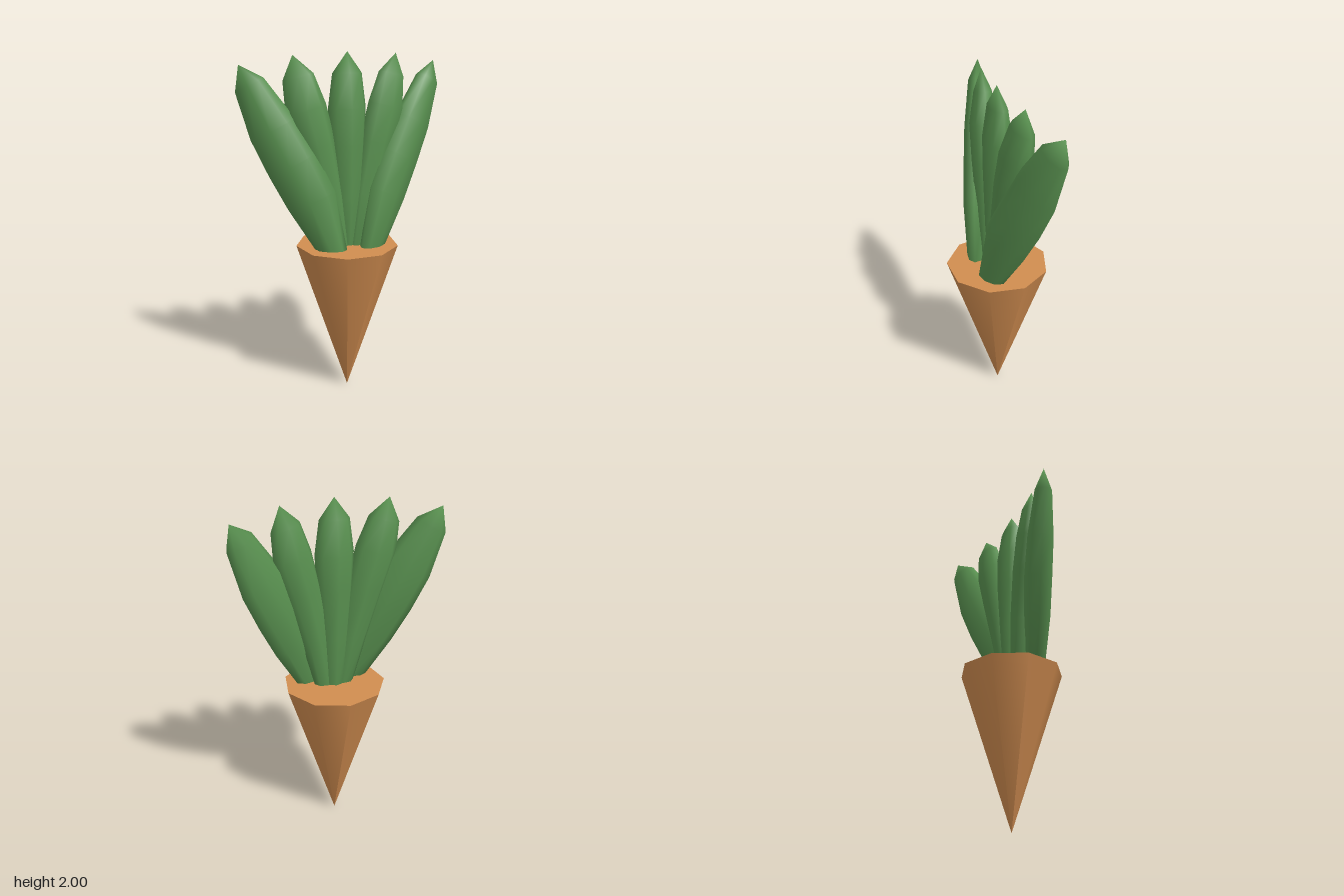
import * as THREE from 'three';

const SIDES = 8;

// Lofts a leaf through rings [x, y, z, halfWidth, halfThickness], closed by a pointed tip.
function leafGeometry(rings, tip, side, yaw) {
  const centres = rings.map(([x, y, z]) => new THREE.Vector3(x * side, y, z));
  centres.push(new THREE.Vector3(tip[0] * side, tip[1], tip[2]));
  const face = new THREE.Vector3(Math.sin(yaw * side), 0, Math.cos(yaw * side));
  const positions = [], index = [];

  rings.forEach(([, , , width, thick], i) => {
    const along = centres[i + 1].clone().sub(centres[Math.max(i - 1, 0)]).normalize();
    const across = along.clone().cross(face).normalize();
    const out = across.clone().cross(along);
    for (let j = 0; j < SIDES; j++) {
      const a = (j / SIDES) * Math.PI * 2;
      const p = centres[i].clone()
        .addScaledVector(across, Math.cos(a) * width)
        .addScaledVector(out, Math.sin(a) * thick);
      positions.push(p.x, p.y, p.z);
    }
  });
  positions.push(...centres[rings.length].toArray());

  const tipIndex = rings.length * SIDES;
  for (let i = 0; i < rings.length; i++) {
    for (let j = 0; j < SIDES; j++) {
      const a = i * SIDES + j, b = i * SIDES + (j + 1) % SIDES;
      if (i === rings.length - 1) index.push(a, tipIndex, b);
      else index.push(a, a + SIDES, b, b, a + SIDES, b + SIDES);
    }
  }
  // base cap
  for (let j = 1; j < SIDES - 1; j++) index.push(0, j, j + 1);

  const g = new THREE.BufferGeometry();
  g.setAttribute('position', new THREE.Float32BufferAttribute(positions, 3));
  g.setIndex(index);
  g.computeVertexNormals();
  return g;
}

export function createModel() {
  const group = new THREE.Group();
  const rootOrange = new THREE.MeshStandardMaterial({ color: 0xd18d50 });
  rootOrange.name = 'rootOrange';
  const leafGreen = new THREE.MeshStandardMaterial({ color: 0x599150 });
  leafGreen.name = 'leafGreen';

  // Nine-sided root, point down
  const rootGeometry = new THREE.ConeGeometry(0.296, 0.91, 9);
  rootGeometry.rotateZ(Math.PI);
  // put one corner at the back
  const corner = rootGeometry.attributes.position;
  let backmost = 0;
  for (let i = 0; i < corner.count; i++) backmost = Math.min(backmost, corner.getZ(i));
  if (backmost > -0.29) rootGeometry.rotateY(Math.PI);
  const root = new THREE.Mesh(rootGeometry, rootOrange);
  root.name = 'root';
  root.position.set(0, 0.46, 0.006);
  group.add(root);

  // Fan of leaves
  const leaves = [
    {
      name: 'centreLeaf', sides: [1], yaw: 0, tip: [0, 2, 0.008],
      rings: [
        [0, 0.87, 0.01, 0.05, 0.05], [0, 1.2, 0.01, 0.08, 0.07], [0, 1.5, 0.006, 0.103, 0.08],
        [0, 1.7, 0.005, 0.111, 0.08], [0, 1.885, 0.005, 0.086, 0.05],
      ],
    },
    {
      name: 'innerLeaf', sides: [1, -1], yaw: 0.2, tip: [0.3, 1.985, -0.02],
      rings: [
        [0.05, 0.87, 0.025, 0.055, 0.05], [0.11, 1.2, 0.015, 0.085, 0.07], [0.18, 1.5, 0.004, 0.107, 0.08],
        [0.235, 1.7, -0.004, 0.114, 0.078], [0.272, 1.87, -0.016, 0.086, 0.05],
      ],
    },
    {
      name: 'outerLeaf', sides: [1, -1], yaw: 0.44, tip: [0.575, 1.935, -0.1],
      rings: [
        [0.105, 0.87, 0.1, 0.075, 0.05], [0.227, 1.2, 0.05, 0.143, 0.075], [0.32, 1.4, 0.005, 0.148, 0.08],
        [0.415, 1.595, -0.033, 0.138, 0.075], [0.525, 1.83, -0.075, 0.088, 0.05],
      ],
    },
  ];
  for (const { name, sides, yaw, tip, rings } of leaves) {
    for (const side of sides) {
      const leaf = new THREE.Mesh(leafGeometry(rings, tip, side, yaw), leafGreen);
      leaf.name = sides.length === 1 ? name : name + (side > 0 ? 'Left' : 'Right');
      group.add(leaf);
    }
  }
  return group;
}
